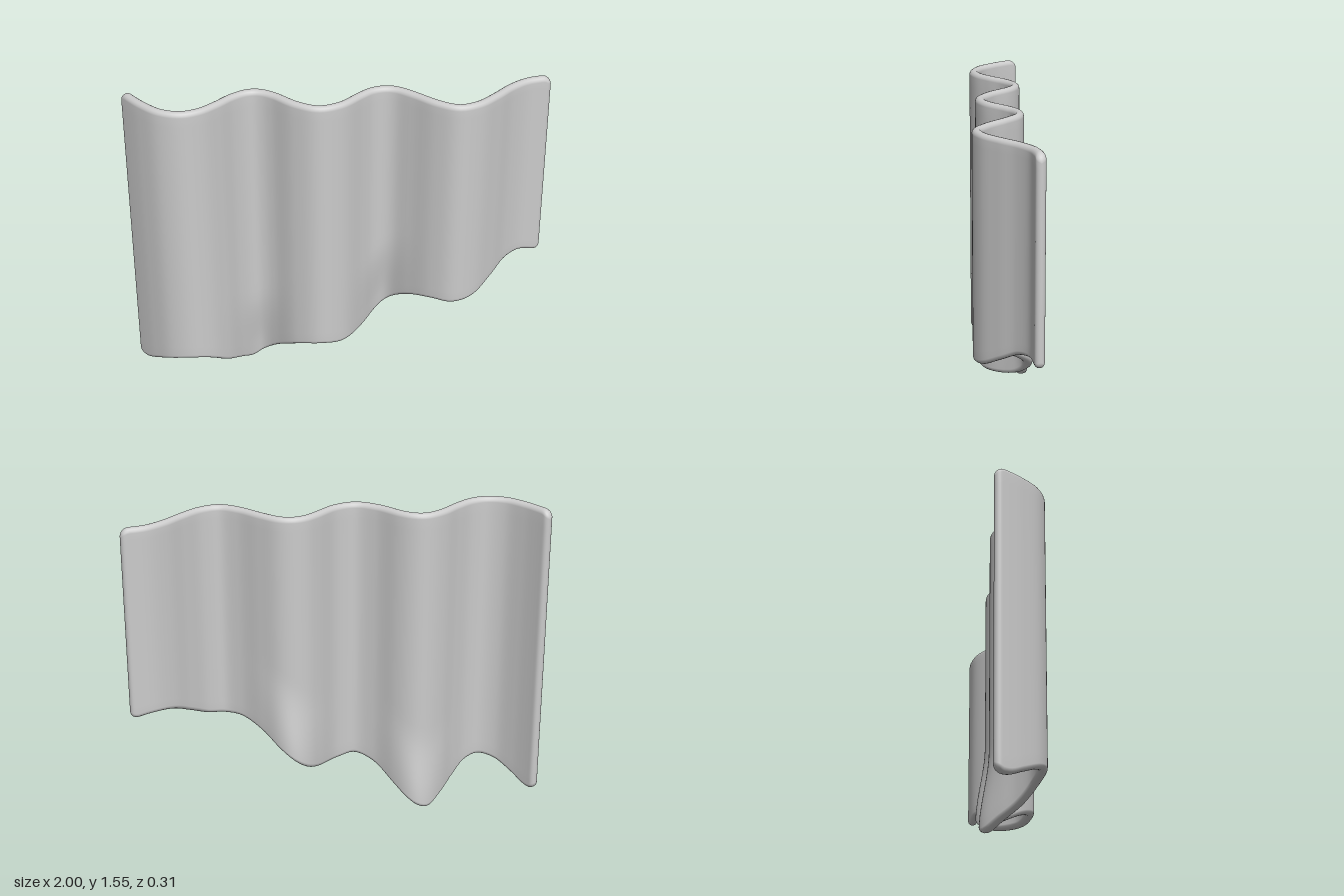
import * as THREE from 'three';
import { mergeVertices } from 'three/addons/utils/BufferGeometryUtils.js';

const TOP = 1.55, HALF = 0.023, CORNER = 0.045;

// Path of the cloth from right to left: x, height of the hem, z
const path = new THREE.CatmullRomCurve3([
  [-0.993, 0.058, -0.09], [-0.95, 0.065, -0.03], [-0.9, 0.1, 0.03], [-0.82, 0.147, 0.1],
  [-0.73, 0.168, 0.127], [-0.65, 0.147, 0.105], [-0.57, 0.085, 0.045], [-0.5, 0.035, -0.022],
  [-0.44, 0.003, -0.06], [-0.395, 0.02, -0.07], [-0.35, 0.053, -0.06], [-0.3, 0.1, -0.03],
  [-0.2, 0.182, 0.06], [-0.1, 0.215, 0.105], [0, 0.205, 0.075], [0.1, 0.22, -0.015],
  [0.15, 0.248, -0.053], [0.21, 0.297, -0.07], [0.27, 0.35, -0.058], [0.35, 0.415, 0],
  [0.45, 0.456, 0.085], [0.54, 0.46, 0.127], [0.63, 0.475, 0.1], [0.72, 0.53, 0.025],
  [0.8, 0.583, -0.055], [0.88, 0.598, -0.11], [0.95, 0.588, -0.13], [0.997, 0.575, -0.138],
].map((p) => new THREE.Vector3(...p)));
path.arcLengthDivisions = 1000;

// How far the back folds flare out near the hem
const flare = (x, rise) => {
  const fold = Math.exp(-(((x + 0.4) / 0.11) ** 2)) + Math.exp(-(((x - 0.21) / 0.11) ** 2));
  return -0.045 * fold * (1 - THREE.MathUtils.smoothstep(rise, 0.0, 0.4));
};

// Inset of a quarter-round of radius r at distance d from the edge
const roundInset = (d, r) => (d >= r ? 0 : r - Math.sqrt(r * r - (r - d) ** 2));

// Closed section of the cloth: down the front, round the hem, up the back, round the top
function section(bottom, top, half) {
  const rows = 26, arc = 8, pts = [];
  const hi = top - half, lo = bottom + half;
  for (let i = 0; i <= rows; i++) pts.push([hi + (lo - hi) * (i / rows), half]);
  for (let i = 1; i < arc; i++) {
    const a = (Math.PI * i) / arc;
    pts.push([lo - half * Math.sin(a), half * Math.cos(a)]);
  }
  for (let i = 0; i <= rows; i++) pts.push([lo + (hi - lo) * (i / rows), -half]);
  for (let i = 1; i < arc; i++) {
    const a = (Math.PI * i) / arc;
    pts.push([hi + half * Math.sin(a), -half * Math.cos(a)]);
  }
  return pts;
}

function clothGeometry() {
  const length = path.getLength(), steps = 150, ends = 8;
  // Stations crowd together at both side edges so that these come out round
  const stations = [];
  const edge = (k) => CORNER * (1 - Math.cos((k / ends) * Math.PI / 2));
  for (let k = 0; k < ends; k++) stations.push(edge(k));
  for (let k = 0; k <= steps; k++) stations.push(CORNER + (length - 2 * CORNER) * (k / steps));
  for (let k = ends - 1; k >= 0; k--) stations.push(length - edge(k));

  const positions = [], index = [];
  let n = 0;
  stations.forEach((s, i) => {
    const u = s / length, d = Math.min(s, length - s);
    const p = path.getPointAt(u), t = path.getTangentAt(u);
    const l = Math.hypot(t.x, t.z), nx = -t.z / l, nz = t.x / l;
    const inset = roundInset(d, CORNER);
    const half = Math.max(HALF - roundInset(d, HALF), 0.0001);
    const loop = section(p.y + inset, TOP - inset, half);
    n = loop.length;
    loop.forEach(([y, off], j) => {
      positions.push(p.x + nx * off, y, p.z + nz * off + flare(p.x, y - p.y));
      if (i === stations.length - 1) return;
      const a = i * n + j, b = i * n + ((j + 1) % n);
      index.push(a, b, b + n, a, b + n, a + n);
    });
  });
  // Close the two side edges
  const last = (stations.length - 1) * n;
  for (let j = 1; j < n - 1; j++) {
    index.push(0, j + 1, j, last, last + j, last + j + 1);
  }
  let geo = new THREE.BufferGeometry();
  geo.setAttribute('position', new THREE.Float32BufferAttribute(positions, 3));
  geo.setIndex(index);
  geo = mergeVertices(geo, 0.0003);
  geo.computeVertexNormals();
  return geo;
}

export function createModel() {
  const group = new THREE.Group();
  group.name = 'curtain';
  const cloth = new THREE.Mesh(clothGeometry(), new THREE.MeshStandardMaterial({ color: 0xcccccc }));
  cloth.name = 'cloth';
  group.add(cloth);
  return group;
}
